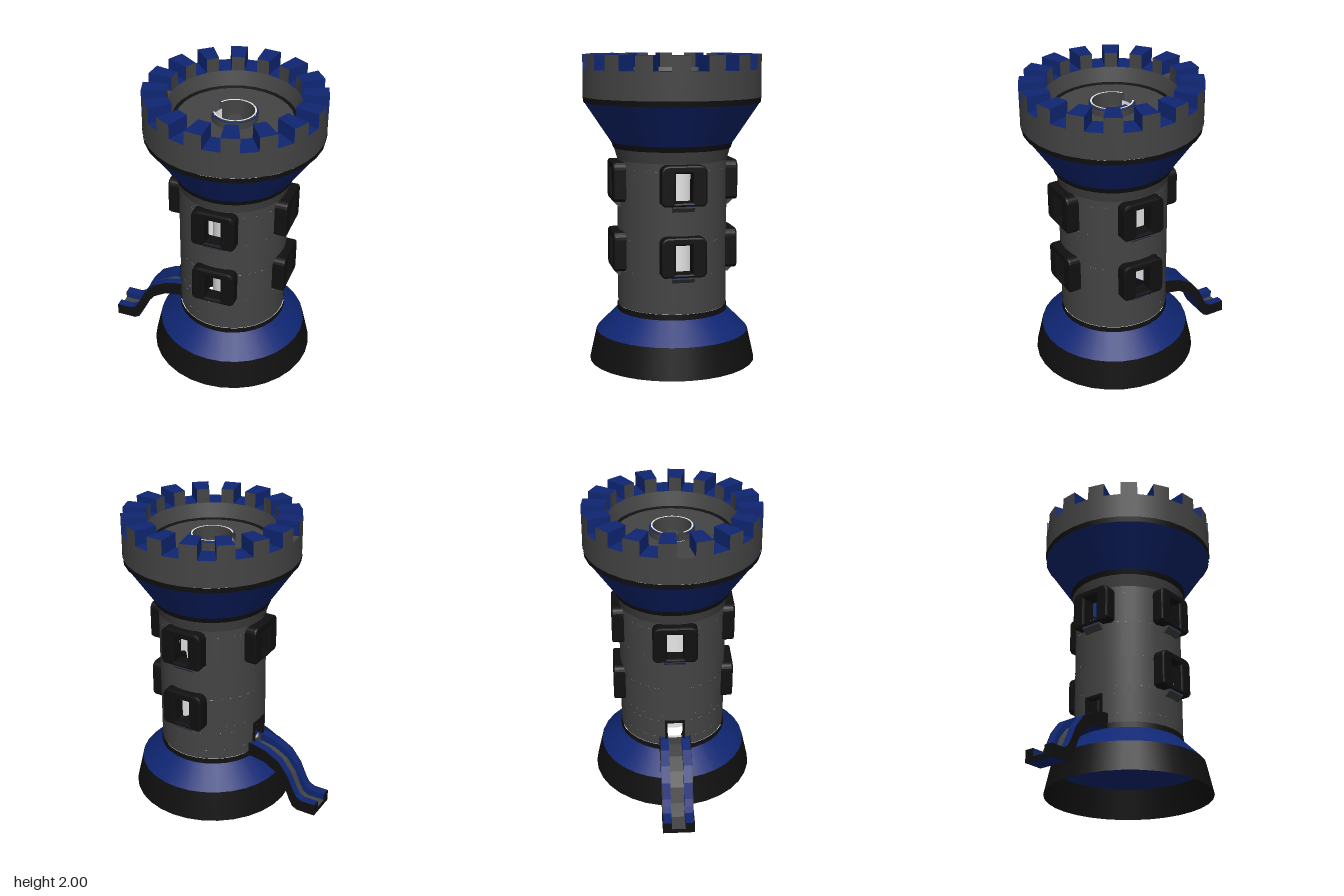
import * as THREE from 'three';

const mat = (name, color) => {
  const m = new THREE.MeshStandardMaterial({ color, side: THREE.DoubleSide });
  m.name = name;
  return m;
};
const DEG = Math.PI / 180;
const V = (x, y) => new THREE.Vector2(x, y);

export function createModel() {
  const grey = mat('stone grey', 0x444444);
  const blue = mat('deep blue', 0x0f2673);
  const black = mat('trim black', 0x101010);
  const white = mat('inner white', 0xffffff);

  const model = new THREE.Group();
  model.name = 'tower';
  const tower = new THREE.Group();
  tower.name = 'towerBody';
  tower.position.x = 0.135;
  model.add(tower);

  const add = (parent, name, geo, m) => {
    const mesh = new THREE.Mesh(geo, m);
    mesh.name = name;
    parent.add(mesh);
    return mesh;
  };
  // One surface of revolution between two radii and heights, angles in degrees from +z
  const band = (name, m, r0, y0, r1, y1, start = 0, len = 360, seg = 32, parent = tower) =>
    add(parent, name, new THREE.LatheGeometry([V(r0, y0), V(r1, y1)], seg, start * DEG, len * DEG), m);

  // Foot and lower trim
  band('baseRing', black, 0.545, 0, 0.5, 0.2);
  band('baseSlope', blue, 0.5, 0.2, 0.36, 0.34);
  band('lowerTrim', black, 0.362, 0.335, 0.36, 0.375);

  // Shaft rows; each lists which sides (+z, +x, -z, -x) are open, as half angles
  const W = 9, D = 10;
  const rows = [
    [0.375, 0.44, null],
    [0.44, 0.57, [0, 0, 0, D]],
    [0.57, 0.62, null],
    [0.62, 0.83, [W, W, W, 0]],
    [0.83, 1.07, null],
    [1.07, 1.28, [W, W, W, W]],
    [1.28, 1.33, null],
  ];
  for (const [y0, y1, open] of rows) {
    for (const [name, m, r] of [['shaftWall', grey, 0.356], ['innerLining', white, 0.335]]) {
      if (!open) band(name, m, r, y0, r, y1);
      else for (let k = 0; k < 4; k++) {
        const a = k * 90 + open[k], b = (k + 1) * 90 - open[(k + 1) % 4];
        band(name, m, r, y0, r, y1, a, b - a, 8);
      }
    }
  }
  band('innerLining', white, 0.335, 0.33, 0.335, 0.375);

  // Flared head
  band('neck', grey, 0.356, 1.33, 0.38, 1.41);
  band('neckTrim', black, 0.383, 1.405, 0.395, 1.44);
  band('flare', blue, 0.395, 1.44, 0.57, 1.7);
  band('headTrim', black, 0.572, 1.695, 0.577, 1.73);
  band('parapet', grey, 0.575, 1.73, 0.575, 1.905);
  band('parapetInside', grey, 0.42, 1.905, 0.39, 1.81);
  band('floorTrim', black, 0.392, 1.812, 0.37, 1.803);
  band('topFloor', grey, 0.39, 1.8, 0.14, 1.8);

  // Battlements: alternating gaps and blocks
  const step = 22.5, half = step / 2, R0 = 0.42, R1 = 0.575;
  for (let k = 0; k < 16; k++) {
    const gap = k * step, block = gap + half;
    band('battlementGap', k === 12 ? grey : blue, R1, 1.905, R0, 1.905, gap, half, 1);
    const g = new THREE.Group();
    g.name = 'battlement';
    tower.add(g);
    band('battlementFront', grey, R1, 1.905, R1, 2, block, half, 1, g);
    band('battlementBack', grey, R0, 2, R0, 1.905, block, half, 1, g);
    band('battlementTop', blue, R1, 2, R0, 2, block, half, 1, g);
    for (const a of [block, block + half]) {
      const s = add(g, 'battlementSide', new THREE.PlaneGeometry(R1 - R0, 0.095), blue);
      const r = (R0 + R1) / 2;
      s.position.set(r * Math.sin(a * DEG), 1.9525, r * Math.cos(a * DEG));
      s.rotation.y = (a - 90) * DEG;
    }
  }

  // Stairwell with its railing, open towards -x
  const from = -60, len = 300;
  band('stairTube', white, 0.135, 0.36, 0.135, 1.8);
  band('railInside', grey, 0.125, 1.855, 0.125, 1.6, from, len);
  band('railTop', white, 0.136, 1.855, 0.125, 1.855, from, len);
  band('railRim', blue, 0.147, 1.845, 0.136, 1.845, from, len);
  band('railOutside', grey, 0.147, 1.8, 0.147, 1.845, from, len);
  band('stairFloor', grey, 0.135, 1.56, 0, 1.56);
  const post = add(tower, 'stairPost', new THREE.CylinderGeometry(0.045, 0.045, 0.24, 16), grey);
  post.position.y = 1.68;
  for (let i = 0; i < 11; i++) {
    const y = 1.785 - i * 0.02, a = -82 - i * 13;
    band('stairTread', blue, 0.125, y, 0.045, y, a, 13, 2);
    const riser = add(tower, 'stairRiser', new THREE.PlaneGeometry(0.08, 0.02), blue);
    riser.position.set(0.085 * Math.sin(a * DEG), y - 0.01, 0.085 * Math.cos(a * DEG));
    riser.rotation.y = (a - 90) * DEG;
  }

  // Window frame: rounded block with an opening, bevelled front
  const frameShape = new THREE.Shape();
  const w = 0.133, h = 0.245, c = 0.04, b = 0.012;
  frameShape.moveTo(-w + 0.012, b);
  frameShape.lineTo(w - 0.012, b);
  frameShape.lineTo(w, b + 0.012);
  frameShape.lineTo(w, h - c);
  frameShape.quadraticCurveTo(w, h, w - c, h);
  frameShape.lineTo(-w + c, h);
  frameShape.quadraticCurveTo(-w, h, -w, h - c);
  frameShape.lineTo(-w, b + 0.012);
  const o = 0.053 + b;
  frameShape.holes.push(new THREE.Path([V(-o, b + 0.001), V(-o, 0.205 + b), V(o, 0.205 + b), V(o, b + 0.001)]));
  const frameGeo = new THREE.ExtrudeGeometry(frameShape, {
    depth: 0.08, bevelEnabled: true, bevelSize: b, bevelThickness: b, bevelSegments: 2, curveSegments: 5,
  });
  // Wedge sill, drawn from the side and extruded across
  const sillGeo = new THREE.ExtrudeGeometry(
    new THREE.Shape([V(-0.33, 0), V(-0.33, -0.04), V(-0.36, -0.04), V(-0.392, -0.01), V(-0.392, 0)]),
    { depth: 0.14, bevelEnabled: false });
  sillGeo.rotateY(Math.PI / 2).translate(-0.07, 0, 0);

  for (const [y, sides] of [[1.07, [0, 1, 2, 3]], [0.62, [0, 1, 2]]]) {
    for (const k of sides) {
      const win = new THREE.Group();
      win.name = 'window';
      win.position.y = y;
      win.rotation.y = k * Math.PI / 2;
      add(win, 'windowFrame', frameGeo, black).position.z = 0.313;
      add(win, 'windowSill', sillGeo, grey);
      add(win, 'sillTop', new THREE.BoxGeometry(0.136, 0.008, 0.065), blue).position.set(0, 0.002, 0.364);
      tower.add(win);
    }
  }

  // Doorway above the slide: black jambs and lintel lining the opening
  const door = new THREE.Group();
  door.name = 'doorway';
  door.rotation.y = -Math.PI / 2;
  tower.add(door);
  for (const s of [-1, 1]) {
    add(door, 'doorJamb', new THREE.BoxGeometry(0.016, 0.14, 0.05), black).position.set(s * 0.06, 0.505, 0.336);
  }
  add(door, 'doorLintel', new THREE.BoxGeometry(0.136, 0.016, 0.05), black).position.set(0, 0.572, 0.338);

  // Slide: side profile swept across in slabs
  const top = [[-0.17, 0.44], [-0.24, 0.438], [-0.33, 0.415], [-0.43, 0.36], [-0.5, 0.27],
    [-0.545, 0.17], [-0.572, 0.125], [-0.61, 0.105], [-0.71, 0.105]];
  const low = [[-0.17, 0.345], [-0.24, 0.34], [-0.33, 0.325], [-0.42, 0.27], [-0.48, 0.19],
    [-0.52, 0.09], [-0.545, 0.045], [-0.58, 0.025], [-0.71, 0.025]];
  // t = 0 is the underside, t = 1 the upper edge
  const line = (t) => low.map(([x, y], i) => V(x + (top[i][0] - x) * t, y + (top[i][1] - y) * t));
  const slide = new THREE.Group();
  slide.name = 'slide';
  model.add(slide);
  const slab = (name, m, t0, t1, z0, z1) => {
    const shape = new THREE.Shape([...line(t0), ...line(t1).reverse()]);
    const geo = new THREE.ExtrudeGeometry(shape, { depth: z1 - z0, bevelEnabled: false });
    add(slide, name, geo, m).position.z = z0;
  };
  slab('slideBed', blue, 0, 0.35, -0.045, 0.045);
  slab('slideChute', grey, 0.35, 0.42, -0.045, 0.045);
  for (const s of [-1, 1]) {
    slab('slideWall', blue, 0, 1, s > 0 ? 0.045 : -0.1, s > 0 ? 0.1 : -0.045);
    slab('slideCheek', black, 0, 1, s > 0 ? 0.1 : -0.105, s > 0 ? 0.105 : -0.1);
    add(slide, 'slideEnd', new THREE.BoxGeometry(0.004, 0.08, 0.06), black).position.set(-0.71, 0.065, s * 0.075);
  }
  add(slide, 'slideEnd', new THREE.BoxGeometry(0.004, 0.03, 0.09), black).position.set(-0.71, 0.04, 0);

  return model;
}
